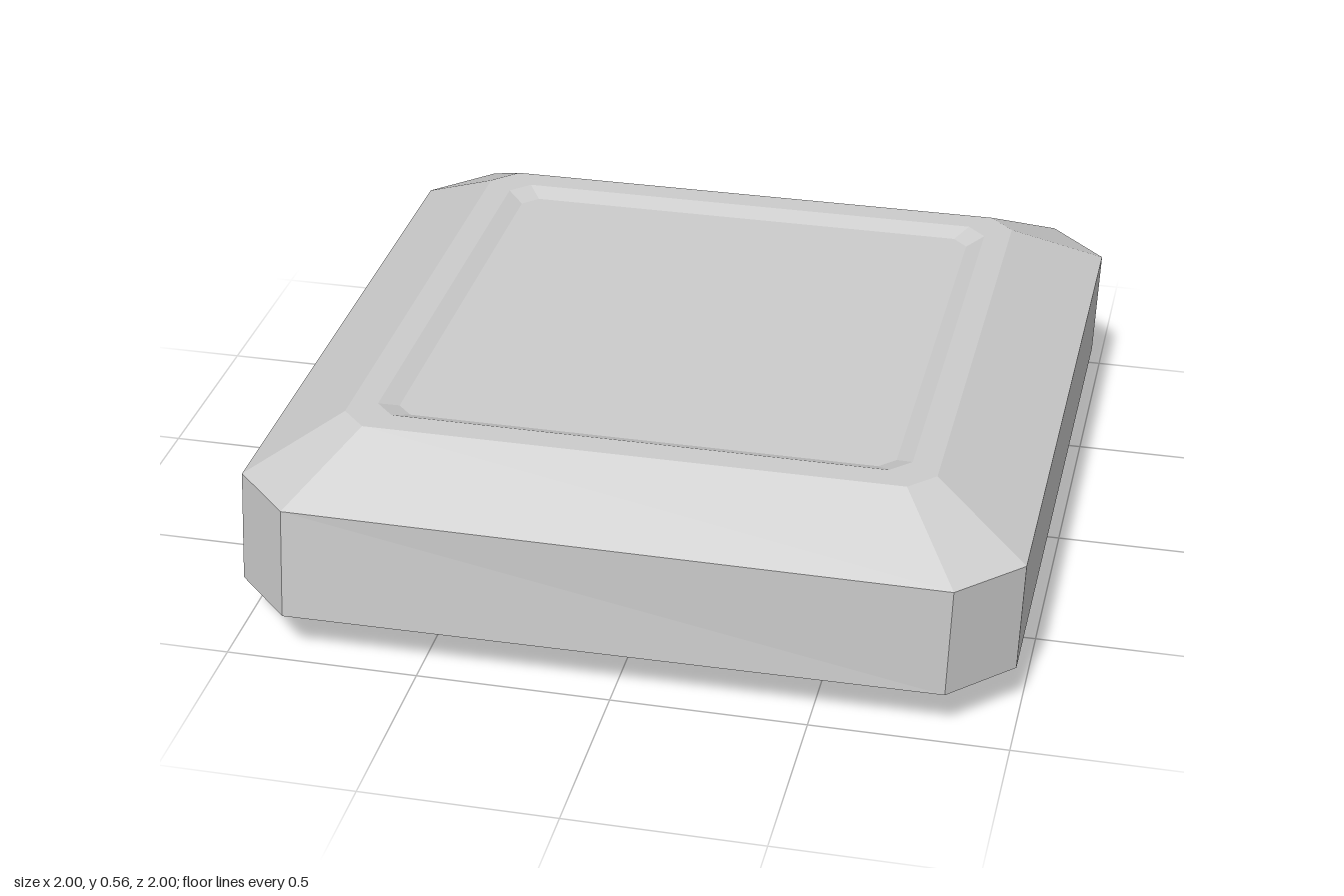
import * as THREE from 'three';

// Ring of an octagon: half width h, straight edges ending at c, height y,
// with a slight lean s between the lower and upper halves.
function ring(h, c, y, s = 0) {
  return [[h, -c], [h, c], [c, h], [-c, h], [-h, c], [-h, -c], [-c, -h], [c, -h]]
    .map(([x, z]) => new THREE.Vector3(x + s, y, z + s * x));
}

// Joins rings from bottom to top with flat quads.
function loft(rings) {
  const pos = [];
  const tri = (a, b, c) => {
    if (a.equals(b) || b.equals(c) || a.equals(c)) return;
    for (const p of [a, b, c]) pos.push(p.x, p.y, p.z);
  };
  for (let r = 0; r < rings.length - 1; r++) {
    const lo = rings[r], hi = rings[r + 1];
    for (let i = 0; i < 8; i++) {
      const j = (i + 1) % 8;
      tri(lo[i], hi[i], hi[j]);
      tri(lo[i], hi[j], lo[j]);
    }
  }
  const geo = new THREE.BufferGeometry();
  geo.setAttribute('position', new THREE.Float32BufferAttribute(pos, 3));
  geo.computeVertexNormals();
  return geo;
}

export function createModel() {
  const group = new THREE.Group();
  group.name = 'bevelledSlab';
  const H = 0.563, bevel = 0.13, depth = 0.02, lean = 0.006;

  // Half profile from the panel centre out to the rim: [half width, corner, inset from face, lean]
  const half = [
    [0, 0, depth, 0],          // panel centre
    [0.64, 0.6, depth, 0],     // recessed panel edge
    [0.685, 0.635, 0, 0],      // top of recess slope
    [0.755, 0.69, 0, 0],       // flat border
    [0.994, 0.84, bevel, lean] // rim
  ];
  const bottom = half.map(([h, c, d, s]) => ring(h, c, d, -s));
  const top = half.map(([h, c, d, s]) => ring(h, c, H - d, s)).reverse();

  const mat = new THREE.MeshStandardMaterial({ color: 0xcccccc, flatShading: true });
  const slab = new THREE.Mesh(loft([...bottom, ...top]), mat);
  slab.name = 'slab';
  group.add(slab);
  return group;
}
